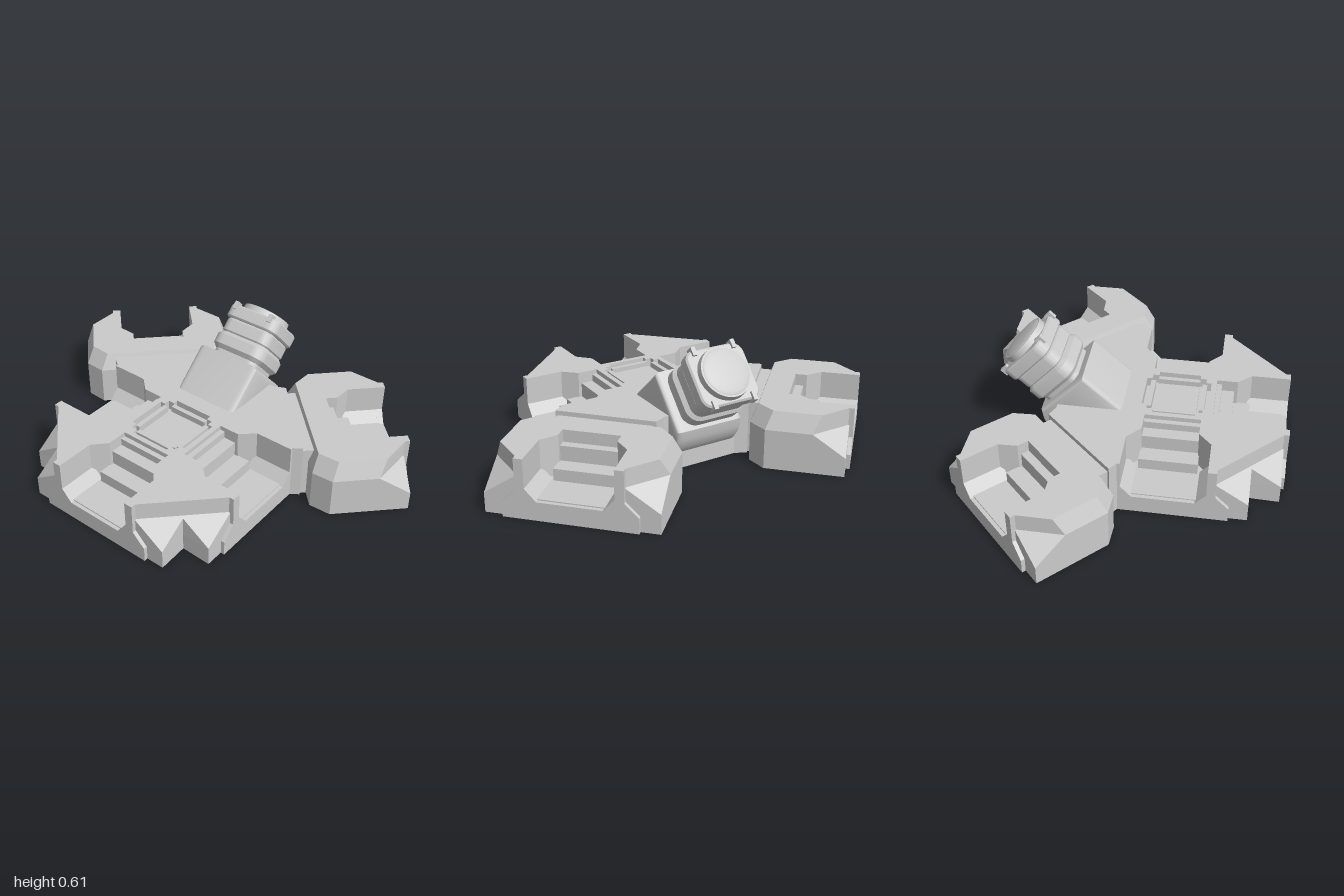
import * as THREE from 'three';
import { toCreasedNormals } from 'three/addons/utils/BufferGeometryUtils.js';
import { ConvexGeometry } from 'three/addons/geometries/ConvexGeometry.js';

const mat = new THREE.MeshStandardMaterial({ color: 0xcccccc, flatShading: true });
const smooth = new THREE.MeshStandardMaterial({ color: 0xcccccc });

function add(group, name, geo, material = mat) {
  const mesh = new THREE.Mesh(geo, material);
  mesh.name = name;
  group.add(mesh);
  return mesh;
}
const shapeOf = pts => new THREE.Shape(pts.map(p => new THREE.Vector2(p[0], p[1])));
// half of an outline -> closed outline mirrored in x or y
const mirrorX = pts => [...pts, ...pts.slice().reverse().map(([x, y]) => [-x, y])];
const mirrorY = pts => [...pts, ...pts.slice().reverse().map(([x, y]) => [x, -y])];

// plan outline raised from y0 to y1; the second plan coordinate runs to -z
function slab(shape, y0, y1) {
  const g = new THREE.ExtrudeGeometry(shape, { depth: y1 - y0, bevelEnabled: false });
  return g.rotateX(-Math.PI / 2).translate(0, y0, 0);
}
function box(x0, x1, y0, y1, z0, z1) {
  return new THREE.BoxGeometry(x1 - x0, y1 - y0, z1 - z0)
    .translate((x0 + x1) / 2, (y0 + y1) / 2, (z0 + z1) / 2);
}

// Bay: outer face at z = 0, depth runs to -z, with a stepped recess open to the front
function bay(name, back, recess, sideBevel) {
  const g = new THREE.Group();
  g.name = name;
  // half outline from the recess back, round the front corner, to the rear
  const upper = shapeOf(mirrorX([[0.13, recess], [0.13, 0.25], [0.19, 0.185], [0.19, 0.018],
    [0.225, 0.018], [0.375, 0.168], ...back]));

  add(g, 'bayBase', slab(shapeOf(mirrorX([[0.375, 0.018], ...back])), 0, 0.09));
  add(g, 'bayWall', slab(upper, 0.09, 0.19));
  const top = slab(upper, 0.19, 0.272);
  if (sideBevel) {
    // lean the side and rear edges inward towards the top
    const p = top.attributes.position;
    for (let i = 0; i < p.count; i++) {
      if (p.getY(i) < 0.25) continue;
      const x = p.getX(i), z = p.getZ(i);
      if (Math.abs(x) > 0.25) p.setX(i, x - Math.sign(x) * 0.035);
      if (Math.abs(x) > 0.25 && z > -0.25) p.setZ(i, z + 0.035);
      if (z < -0.36) p.setZ(i, z + 0.03);
    }
    top.computeVertexNormals();
  }
  add(g, 'bayTop', top);

  // front frame plate
  const plate = mirrorX([[0.14, 0.085], [0.19, 0.14], [0.19, 0.272], [0.23, 0.272],
    [0.23, 0.13], [0.29, 0.07], [0.29, 0]]);
  add(g, 'frontFrame', new THREE.ExtrudeGeometry(shapeOf(plate), { depth: 0.03, bevelEnabled: false })
    .translate(0, 0, -0.03));

  for (const s of [-1, 1]) {
    const v = (x, y, t) => new THREE.Vector3(s * x, y, -t);
    // sloping corner foot
    add(g, 'cornerFoot', new ConvexGeometry([v(0.225, 0.09, 0.018), v(0.375, 0.09, 0.018),
      v(0.375, 0.09, 0.168), v(0.225, 0.19, 0.018), v(0.375, 0.19, 0.168)]));
    // slanted lower cheek of the recess
    add(g, 'recessCheek', new ConvexGeometry([v(0.14, 0.085, 0.005), v(0.2, 0.085, 0.005), v(0.2, 0.15, 0.005),
      v(0.14, 0.085, 0.2), v(0.2, 0.085, 0.2), v(0.2, 0.15, 0.2)]));
  }
  // steps rising towards the back of the recess
  for (const [start, height] of [[0.185, 0.145], [0.265, 0.215], [0.325, 0.25]]) {
    add(g, 'recessStep', box(-0.135, 0.135, 0.08, height, -0.36, -start));
  }
  return g;
}

// Cannon collar: rounded-square section running along x
function collar(x0, x1, half, halfZ, bevel) {
  const h = half - bevel, w = halfZ - bevel, r = half * 0.32;
  const s = new THREE.Shape();
  s.absarc(w - r, h - r, r, 0, Math.PI / 2);
  s.absarc(-w + r, h - r, r, Math.PI / 2, Math.PI);
  s.absarc(-w + r, -h + r, r, Math.PI, Math.PI * 1.5);
  s.absarc(w - r, -h + r, r, Math.PI * 1.5, Math.PI * 2);
  const g = new THREE.ExtrudeGeometry(s, {
    depth: x1 - x0 - 2 * bevel, bevelSize: bevel, bevelThickness: bevel, bevelSegments: 1, curveSegments: 8
  });
  return toCreasedNormals(g.translate(0, 0, x0 + bevel).rotateY(Math.PI / 2), 0.6);
}

function cannon() {
  const g = new THREE.Group();
  g.name = 'cannon';
  // sloping mount, bevelled at the sides, with a rounded lower front
  const side = [[0, 0.1], [0.31, 0.1], [0.34, 0.115], [0.363, 0.145], [0.375, 0.18], [0.38, 0.215],
    [0.19, 0.415], [0, 0.245]];
  const mount = new THREE.ExtrudeGeometry(shapeOf(side), {
    depth: 0.27, bevelSize: 0.014, bevelThickness: 0.032, bevelSegments: 4
  });
  add(g, 'cannonMount', toCreasedNormals(mount.translate(0, 0, -0.135), 0.6), smooth);

  const barrel = new THREE.Group();
  barrel.name = 'barrel';
  barrel.position.set(0.475, 0.487, 0);
  barrel.rotation.z = 0.75;
  g.add(barrel);
  add(barrel, 'barrelNeck', collar(-0.29, -0.06, 0.112, 0.125, 0.01), smooth);
  add(barrel, 'rearCollar', collar(-0.22, -0.13, 0.135, 0.148, 0.02), smooth);
  add(barrel, 'middleCollar', collar(-0.135, -0.06, 0.124, 0.136, 0.01), smooth);
  add(barrel, 'frontCollar', collar(-0.06, 0.008, 0.134, 0.146, 0.008), smooth);
  add(barrel, 'muzzleRing', new THREE.CylinderGeometry(0.118, 0.122, 0.04, 40)
    .rotateZ(-Math.PI / 2).translate(0.018, 0, 0), smooth);
  add(barrel, 'lens', new THREE.SphereGeometry(0.112, 36, 18).scale(0.14, 1, 1).translate(0.035, 0, 0), smooth);
  for (const sy of [-1, 1]) for (const sz of [-1, 1]) {
    add(barrel, 'clip', new THREE.BoxGeometry(0.04, 0.04, 0.02)).position.set(0, sy * 0.125, sz * 0.1);
  }
  return g;
}

export function createModel() {
  const model = new THREE.Group();
  model.name = 'fortifiedPlatform';

  // three bays around the hub, mitred against each other
  [['frontBay', -0.23, 0.53, 0], ['backBay', -0.23, -0.53, Math.PI], ['leftEndBay', -0.76, 0, -Math.PI / 2]]
    .forEach(([name, x, z, turn]) => {
      const b = bay(name, [[0.37, 0.172], [0.16, 0.37]], 0.35, false);
      b.position.set(x, 0, z);
      b.rotation.y = turn;
      model.add(b);
    });

  // two diagonal pods with necks
  for (const s of [1, -1]) {
    const pod = bay(s > 0 ? 'frontPod' : 'backPod', [[0.375, 0.38], [0.305, 0.457]], 0.305, true);
    add(pod, 'podNeck', box(-0.22, 0.22, 0, 0.25, -0.53, -0.42));
    pod.position.set(0.507, 0, s * 0.75);
    pod.rotation.y = s > 0 ? Math.PI / 4 : Math.PI * 0.75;
    model.add(pod);
  }

  // hub with a square pit, notched at the middle of each side
  const hub = new THREE.Group();
  hub.name = 'hub';
  hub.position.x = -0.23;
  model.add(hub);
  const rim = shapeOf(mirrorX([[0.18, -0.18], [0.18, 0.18]]));
  rim.holes.push(shapeOf(mirrorX([[0.1, -0.155], [0.1, -0.13], [0.13, -0.13], [0.13, -0.1], [0.155, -0.1],
    [0.155, 0.1], [0.13, 0.1], [0.13, 0.13], [0.1, 0.13], [0.1, 0.155]])));
  add(hub, 'hubRim', slab(rim, 0, 0.272));
  add(hub, 'pitFloor', box(-0.17, 0.17, 0, 0.225, -0.17, 0.17));
  add(hub, 'pitPlate', box(-0.1, 0.1, 0.22, 0.245, -0.1, 0.1));
  for (let i = 0; i < 4; i++) {
    add(hub, 'pitRail', box(-0.1, 0.1, 0.22, 0.262, 0.112, 0.135)).rotation.y = i * Math.PI / 2;
  }

  // deck joining the hub, pods and cannon
  const deck = mirrorY([[-0.06, 0.17], [-0.035, 0.3], [-0.035, 0.52], [0, 0.568], [0.335, 0.245], [0.31, 0.19]]);
  add(model, 'deck', slab(shapeOf(deck), 0, 0.272));

  model.add(cannon());
  return model;
}
